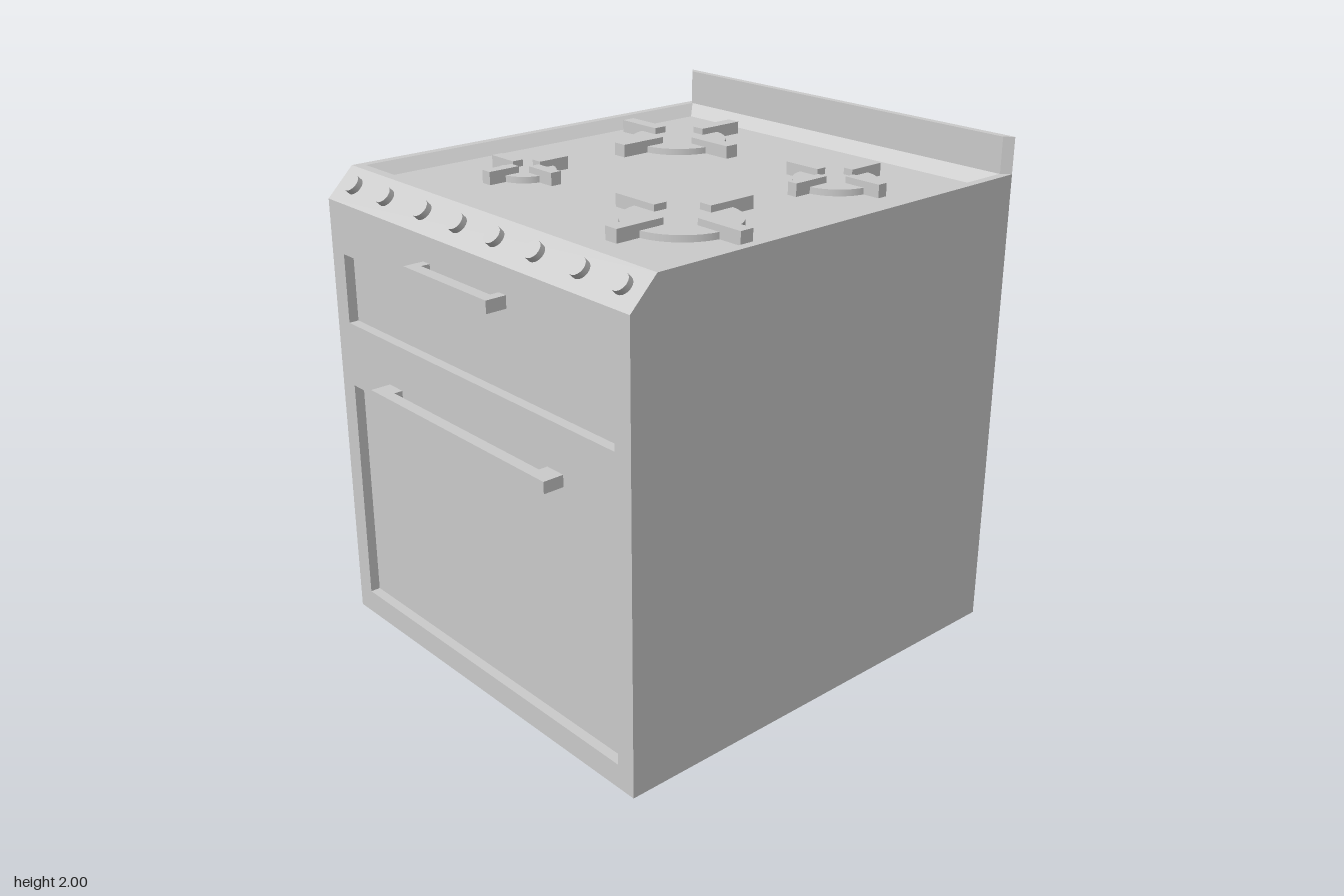
import * as THREE from 'three';

const W = 0.87, BACK = -0.97, FRONT = 0.89, TOP = 1.86;
const CH_Y = 1.75, CH_Z = 0.78; // chamfered control panel
const mat = new THREE.MeshStandardMaterial({ color: 0xcccccc });

export function createModel() {
  const model = new THREE.Group();
  const add = (name, geo, parent = model) => {
    const m = new THREE.Mesh(geo, mat);
    m.name = name;
    parent.add(m);
    return m;
  };
  const group = (name) => {
    const g = new THREE.Group();
    g.name = name;
    model.add(g);
    return g;
  };
  const box = (name, parent, [x0, x1], [y0, y1], [z0, z1]) =>
    add(name, new THREE.BoxGeometry(x1 - x0, y1 - y0, z1 - z0), parent)
      .position.set((x0 + x1) / 2, (y0 + y1) / 2, (z0 + z1) / 2);

  // flat quads, corners counter-clockwise from outside
  const quads = (list) => {
    const pos = list.flatMap(([a, b, c, d]) => [a, b, c, a, c, d].flat());
    const g = new THREE.BufferGeometry();
    g.setAttribute('position', new THREE.Float32BufferAttribute(pos, 3));
    g.computeVertexNormals();
    return g;
  };
  // walls from an outer loop to an inner loop, closed by a floor
  const recess = (outer, inner) => quads([
    ...outer.map((o, k) => {
      const n = (k + 1) % 4;
      return [o, outer[n], inner[n], inner[k]];
    }),
    inner,
  ]);
  const polygon = (pts) => new THREE.Shape(pts.map(([x, y]) => new THREE.Vector2(x, y)));
  const rect = (x, y0, y1) => [[-x, y0], [x, y0], [x, y1], [-x, y1]];
  const plate = (pts, holes = []) => {
    const s = polygon(pts);
    s.holes = holes.map(polygon);
    return new THREE.ShapeGeometry(s);
  };

  // Cabinet shell
  const cabinet = group('cabinet');
  const profile = [[BACK, 0], [FRONT, 0], [FRONT, CH_Y], [CH_Z, TOP], [BACK, TOP]];
  add('rightSide', plate(profile).rotateY(-Math.PI / 2).translate(-W, 0, 0), cabinet);
  add('leftSide', plate(profile.map(([z, y]) => [-z, y])).rotateY(Math.PI / 2).translate(W, 0, 0), cabinet);
  add('backPanel', quads([[[W, 0, BACK], [-W, 0, BACK], [-W, TOP, BACK], [W, TOP, BACK]]]), cabinet);
  add('bottomPanel', quads([[[-W, 0, BACK], [W, 0, BACK], [W, 0, FRONT], [-W, 0, FRONT]]]), cabinet);
  add('controlPanel', quads([[[-W, CH_Y, FRONT], [W, CH_Y, FRONT], [W, TOP, CH_Z], [-W, TOP, CH_Z]]]), cabinet);

  // Front with recessed drawer and oven door panels
  const panels = { drawerPanel: rect(0.79, 1.275, 1.55), ovenDoorPanel: rect(0.79, 0.095, 1.015) };
  add('frontFrame', plate(rect(W, 0, CH_Y), Object.values(panels)).translate(0, 0, FRONT), cabinet);
  for (const [name, loop] of Object.entries(panels)) {
    const at = (z) => loop.map(([x, y]) => [x, y, z]);
    add(name, recess(at(FRONT), at(FRONT - 0.04)), cabinet);
  }

  // Cooktop: rim and sloped tray
  const FLOOR = TOP - 0.045;
  const rim = rect(0.835, -0.74, 0.94), tray = rect(0.79, -0.69, 0.89);
  const level = (loop, y) => loop.map(([x, v]) => [x, y, -v]);
  add('cooktopRim', plate(rect(W, -CH_Z, -BACK), [rim]).rotateX(-Math.PI / 2).translate(0, TOP, 0), cabinet);
  add('cooktopTray', recess(level(rim, TOP), level(tray, FLOOR)), cabinet);

  // Backsplash with mitred ends
  const splash = polygon([[-0.838, 0.94], [0.838, 0.94], [W, -BACK], [-W, -BACK]]);
  add('backsplash', new THREE.ExtrudeGeometry(splash, { depth: 2 - TOP, bevelEnabled: false })
    .rotateX(-Math.PI / 2).translate(0, TOP, 0));

  // Burners: x, z, disc radius, bar inner and outer reach, bar width
  const burners = [
    [-0.445, -0.5, 0.195, 0.11, 0.315, 0.057],
    [0.425, -0.495, 0.16, 0.07, 0.23, 0.042],
    [-0.445, 0.28, 0.115, 0.05, 0.185, 0.046],
    [0.425, 0.275, 0.217, 0.11, 0.315, 0.057],
  ];
  for (const [x, z, r, r0, r1, w] of burners) {
    const burner = group('burner');
    burner.position.set(x, FLOOR, z);
    add('burnerDisc', new THREE.CylinderGeometry(r, r, 0.025, 48), burner).position.y = 0.0125;
    for (let k = 0; k < 4; k++) {
      const bar = new THREE.BoxGeometry(r1 - r0, 0.05, w)
        .translate((r0 + r1) / 2, 0.025, 0).rotateY(k * Math.PI / 2);
      add('grateBar', bar, burner);
    }
  }

  // Knobs standing square to the control panel
  const knobs = group('knobs');
  for (const x of [-0.765, -0.55, -0.31, -0.095, 0.12, 0.34, 0.57, 0.775]) {
    const knob = add('knob', new THREE.CylinderGeometry(0.035, 0.035, 0.025, 24).translate(0, 0.0125, 0), knobs);
    knob.rotation.x = Math.PI / 4;
    knob.position.set(x, (CH_Y + TOP) / 2 + 0.002, (CH_Z + FRONT) / 2 - 0.002);
  }

  // Handles: half length, bottom, top, post width
  const handles = { drawerHandle: [0.243, 1.605, 1.652, 0.04], ovenHandle: [0.525, 1.055, 1.1, 0.085] };
  for (const [name, [x, y0, y1, w]] of Object.entries(handles)) {
    const handle = group(name);
    box('handleBar', handle, [-x, x], [y0, y1], [0.925, 0.972]);
    for (const s of [-1, 1]) {
      const span = [s * x, s * (x - w)].sort((a, b) => a - b);
      box('handlePost', handle, span, [y0, y1], [FRONT, 0.925]);
    }
  }
  return model;
}
